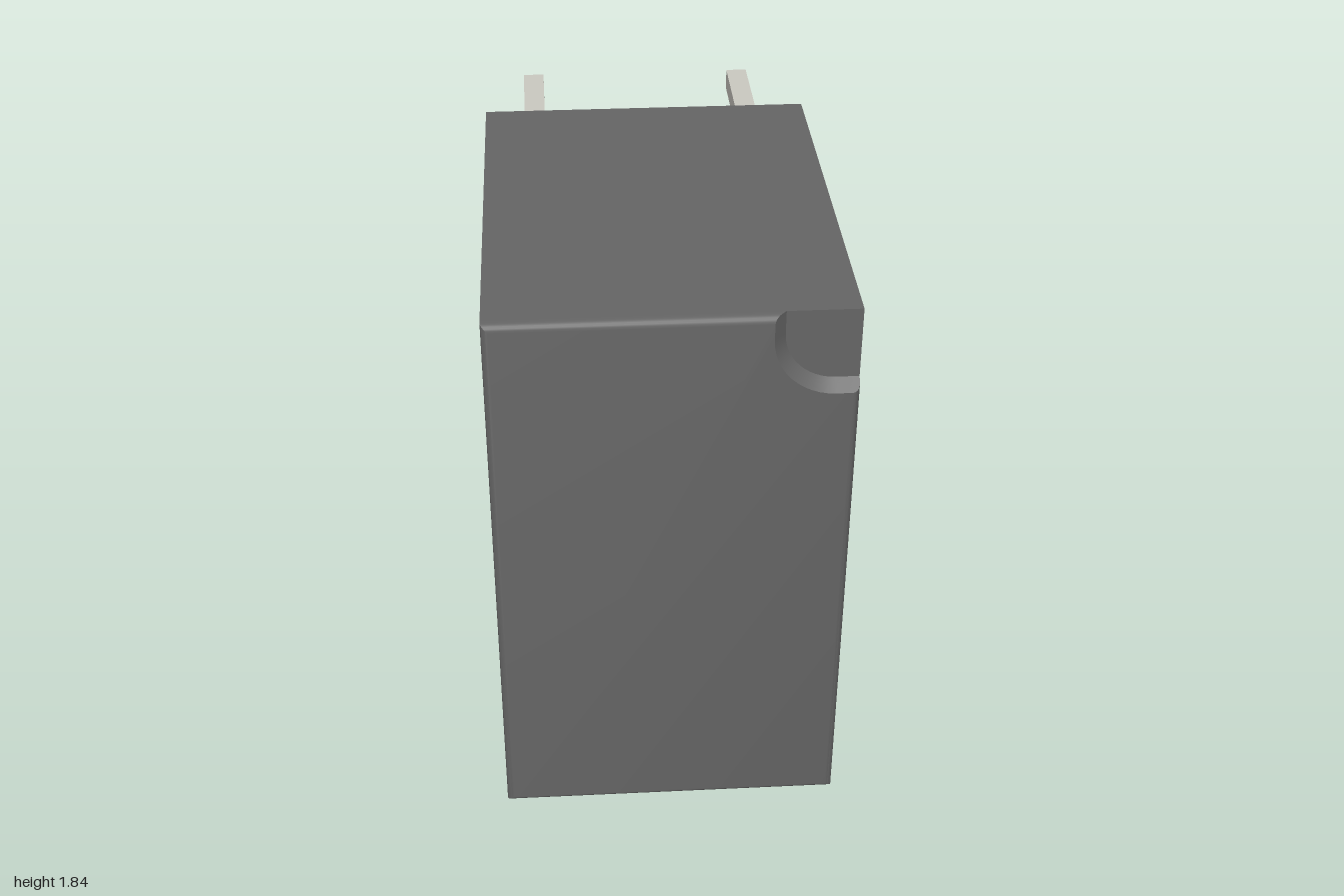
import * as THREE from 'three';
import { toCreasedNormals, mergeGeometries } from 'three/addons/utils/BufferGeometryUtils.js';

const W = 0.54, H = 1.84, BACK = -0.415, STEP = 0.965, FRONT = 1.0, ROUND = 0.022;

// Outline of the front layer at depth z: rounded rim outside, sloped corner notch inside
function outline(z) {
  const d = Math.max(0, z - (FRONT - ROUND));
  const e = ROUND - Math.sqrt(Math.max(0, ROUND * ROUND - d * d));
  const r = 0.15 + (z - STEP);
  const cx = 0.47, cy = 1.765;
  const pts = [[-W + e, e], [W - e, e], [W - e, cy - r]];
  for (let i = 0; i <= 12; i++) {
    const a = -Math.PI / 2 - (i / 12) * Math.PI / 2;
    pts.push([cx + r * Math.cos(a), cy + r * Math.sin(a)]);
  }
  pts.push([cx - r, H - e], [-W + e, H - e]);
  return pts.map(([x, y]) => new THREE.Vector2(x, y));
}

// Loft the outlines and close the front
function frontLayer() {
  const levels = [STEP];
  for (let i = 0; i <= 5; i++) levels.push(FRONT - ROUND + ROUND * Math.sin((i / 5) * Math.PI / 2));
  const pos = [];
  for (let k = 0; k + 1 < levels.length; k++) {
    const a = outline(levels[k]), b = outline(levels[k + 1]);
    for (let i = 0; i < a.length; i++) {
      const j = (i + 1) % a.length;
      const q = [[a[i], 0], [a[j], 0], [b[j], 1], [a[i], 0], [b[j], 1], [b[i], 1]];
      for (const [p, s] of q) pos.push(p.x, p.y, levels[k + s]);
    }
  }
  const walls = new THREE.BufferGeometry();
  walls.setAttribute('position', new THREE.Float32BufferAttribute(pos, 3));
  const cap = new THREE.ShapeGeometry(new THREE.Shape(outline(FRONT))).toNonIndexed();
  cap.deleteAttribute('uv');
  cap.deleteAttribute('normal');
  cap.translate(0, 0, FRONT);
  return toCreasedNormals(mergeGeometries([walls, cap]), 0.6);
}

export function createModel() {
  const model = new THREE.Group();
  const dark = new THREE.MeshStandardMaterial({ color: 0x666666 });
  const metal = new THREE.MeshStandardMaterial({ color: 0xcccac2 });

  const add = (name, geometry, material, x, y, z) => {
    const mesh = new THREE.Mesh(geometry, material);
    mesh.name = name;
    mesh.position.set(x, y, z);
    model.add(mesh);
  };

  // Housing: plain block plus the notched, soft-edged front layer
  add('housing', new THREE.BoxGeometry(2 * W, H, STEP - BACK), dark, 0, H / 2, (STEP + BACK) / 2);
  add('frontFace', frontLayer(), dark, 0, 0, 0);

  // Stand-off foot: circular segment, 0.15 half chord and 0.075 high
  const r = 0.1875, half = Math.asin(0.15 / r);
  const segment = new THREE.Shape();
  segment.absarc(-r * Math.cos(half), 0, r, -half, half, false);
  segment.closePath();
  const foot = new THREE.ExtrudeGeometry(segment, { depth: 0.042, bevelEnabled: false, curveSegments: 24 });
  foot.translate(0, 0, -0.021).rotateY(Math.PI / 2);
  const footGeometry = toCreasedNormals(foot, 0.6);

  const pin = (size) => new THREE.BoxGeometry(size, size, 1 + BACK);
  const contactPin = pin(0.072), smallPin = pin(0.042);
  const pinZ = (BACK - 1) / 2;

  // Feet and pins, mirrored left and right
  for (const side of [-1, 1]) {
    for (const y of [0.345, 1.49]) add('foot', footGeometry, dark, side * (W - 0.021), y, BACK);
    add('contactPin', contactPin, metal, side * 0.377, 1.682, pinZ);
    for (const y of [0.15, 1.29]) add('smallPin', smallPin, metal, side * 0.377, y, pinZ);
  }
  return model;
}
